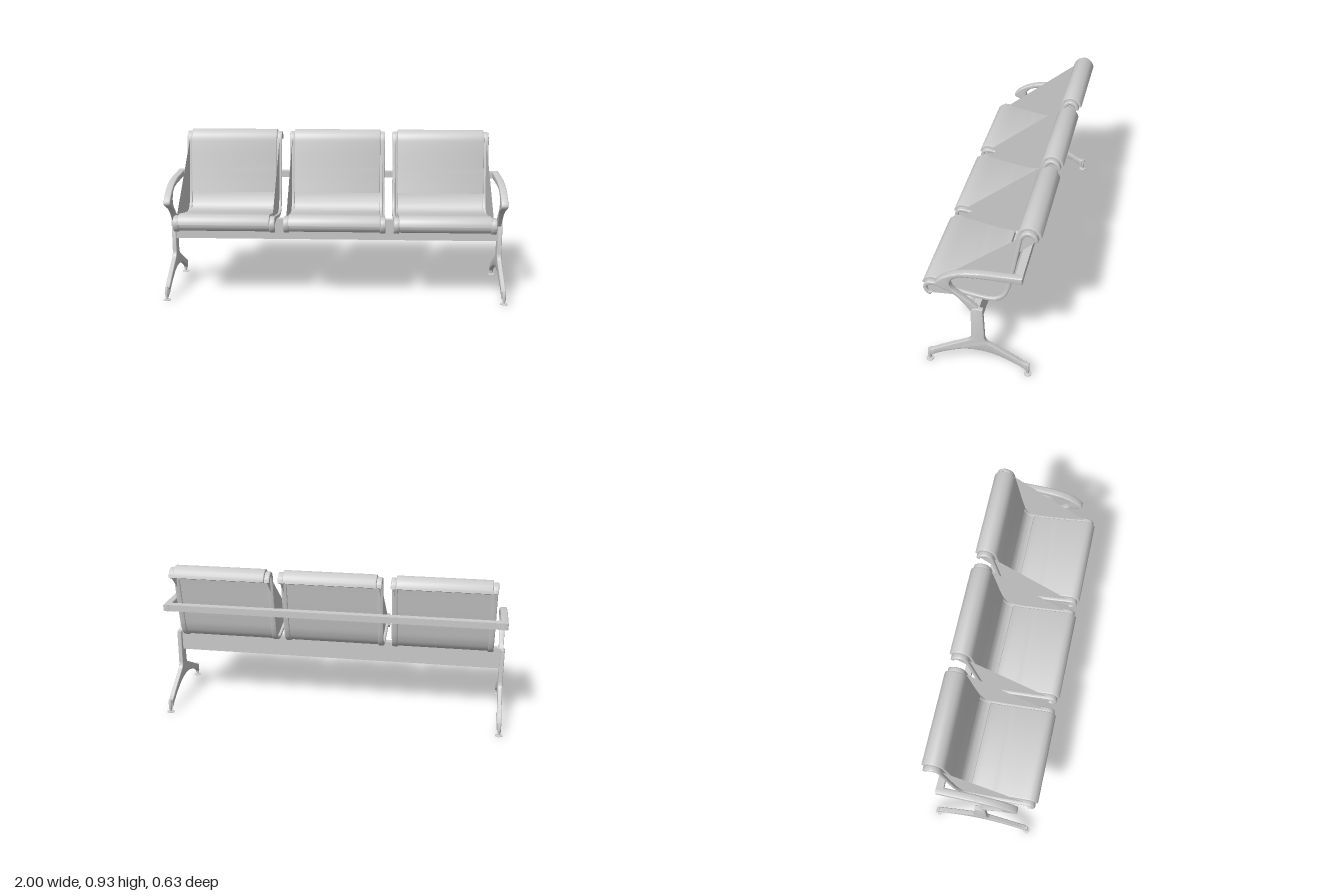
import * as THREE from 'three';
import { toCreasedNormals } from 'three/addons/utils/BufferGeometryUtils.js';

const grey = new THREE.MeshStandardMaterial({ color: 0xcccccc });
const greyThin = new THREE.MeshStandardMaterial({ color: 0xcccccc, side: THREE.DoubleSide });

const toVectors = (pairs) => pairs.map(([z, y]) => new THREE.Vector2(z, y));

function addMesh(parent, name, geometry, x = 0, y = 0, z = 0, material = grey) {
  const mesh = new THREE.Mesh(geometry, material);
  mesh.name = name;
  mesh.position.set(x, y, z);
  parent.add(mesh);
  return mesh;
}

// Extrudes a side outline given in (z, y) to a total width along x, centred on x = 0
function sideExtrude(shape, width, bevel) {
  const geometry = new THREE.ExtrudeGeometry(shape, {
    depth: width - 2 * bevel, curveSegments: 10, steps: 1,
    bevelEnabled: bevel > 0, bevelSize: bevel, bevelThickness: bevel,
    bevelOffset: -bevel, bevelSegments: 3,
  });
  geometry.translate(0, 0, bevel - width / 2);
  geometry.rotateY(-Math.PI / 2);
  return toCreasedNormals(geometry, 0.6);
}

// Side profile of a seat, from the front curl over the seat and up to the top curl
const profile = new THREE.SplineCurve(toVectors([
  [0.26, 0.423], [0.282, 0.435], [0.292, 0.465], [0.277, 0.491], [0.24, 0.493],
  [0.15, 0.474], [0.0, 0.447], [-0.07, 0.445], [-0.118, 0.468], [-0.146, 0.52],
  [-0.163, 0.59], [-0.184, 0.7], [-0.207, 0.83], [-0.222, 0.885], [-0.253, 0.904],
  [-0.284, 0.89], [-0.296, 0.862],
]));

// A band following part of the profile, lifted off it by "offset"
function band(from, to, offset, thickness, width, bevel) {
  const upper = [], lower = [];
  const count = Math.ceil((to - from) * 90);
  for (let i = 0; i <= count; i++) {
    const t = from + ((to - from) * i) / count;
    const p = profile.getPoint(t);
    const d = profile.getTangent(t);
    const normal = new THREE.Vector2(d.y, -d.x);
    upper.push(p.clone().addScaledVector(normal, offset + thickness / 2));
    lower.unshift(p.clone().addScaledVector(normal, offset - thickness / 2));
  }
  return sideExtrude(new THREE.Shape([...upper, ...lower]), width, bevel);
}

function sideWebGeometry() {
  const outline = toVectors([
    [0.26, 0.42], [0.29, 0.45], [0.288, 0.48], [0.24, 0.505], [-0.2, 0.862],
    [-0.222, 0.888], [-0.253, 0.905], [-0.284, 0.89], [-0.296, 0.862], [-0.2, 0.77],
    [-0.184, 0.7], [-0.163, 0.59], [-0.146, 0.52], [-0.118, 0.468], [-0.07, 0.445], [0, 0.438],
  ]);
  const geometry = new THREE.ShapeGeometry(new THREE.Shape(outline));
  geometry.rotateY(-Math.PI / 2);
  return geometry;
}

function armGeometry() {
  const shape = new THREE.Shape();
  shape.moveTo(0.033, 0.4);
  shape.bezierCurveTo(0.07, 0.455, 0.1, 0.5, 0.135, 0.515);
  shape.lineTo(0.208, 0.55);
  shape.bezierCurveTo(0.225, 0.565, 0.205, 0.585, 0.185, 0.602);
  shape.bezierCurveTo(0.13, 0.645, 0.06, 0.668, -0.05, 0.672);
  shape.lineTo(-0.24, 0.677);
  shape.lineTo(-0.24, 0.638);
  shape.lineTo(-0.06, 0.638);
  shape.bezierCurveTo(0.04, 0.635, 0.09, 0.635, 0.115, 0.612);
  shape.bezierCurveTo(0.145, 0.585, 0.14, 0.555, 0.115, 0.53);
  shape.bezierCurveTo(0.075, 0.492, 0.04, 0.475, -0.01, 0.427);
  shape.lineTo(-0.01, 0.4);
  const geometry = sideExtrude(shape, 0.04, 0.006);
  // Slim the arm down to the width of the post
  const position = geometry.attributes.position;
  for (let i = 0; i < position.count; i++) {
    const rise = THREE.MathUtils.smoothstep(position.getY(i), 0.4, 0.6);
    position.setX(i, position.getX(i) * (0.65 + 0.35 * rise));
  }
  return toCreasedNormals(geometry, 0.6);
}

function legGeometry() {
  const shape = new THREE.Shape();
  shape.moveTo(0, 0.13);
  shape.bezierCurveTo(0.08, 0.13, 0.13, 0.105, 0.2, 0.072);
  shape.quadraticCurveTo(0.245, 0.05, 0.262, 0.03);
  shape.lineTo(0.27, 0.076);
  shape.quadraticCurveTo(0.24, 0.085, 0.21, 0.108);
  shape.lineTo(0.06, 0.19);
  shape.quadraticCurveTo(0.035, 0.203, 0.034, 0.23);
  shape.lineTo(0.03, 0.41);
  shape.quadraticCurveTo(0.02, 0.428, 0, 0.43);
  shape.lineTo(-0.033, 0.426);
  shape.lineTo(-0.039, 0.23);
  shape.quadraticCurveTo(-0.04, 0.203, -0.06, 0.19);
  shape.lineTo(-0.21, 0.108);
  shape.quadraticCurveTo(-0.24, 0.085, -0.27, 0.076);
  shape.lineTo(-0.262, 0.03);
  shape.quadraticCurveTo(-0.245, 0.05, -0.2, 0.072);
  shape.bezierCurveTo(-0.13, 0.105, -0.08, 0.13, 0, 0.13);
  return sideExtrude(shape, 0.026, 0.005);
}

// Levelling foot: rounded socket, stem and disc turned as one piece
function footGeometry() {
  const points = toVectors([
    [0, 0], [0.021, 0], [0.021, 0.003], [0.006, 0.006], [0.005, 0.016], [0.009, 0.018],
    [0.01, 0.022], [0.01, 0.074], [0.007, 0.08], [0, 0.081],
  ]);
  return toCreasedNormals(new THREE.LatheGeometry(points, 20), 0.6);
}

export function createModel() {
  const model = new THREE.Group();
  model.name = 'threeSeatBench';

  // Seats
  const shell = band(0, 1, 0, 0.008, 0.53, 0);
  const seatPad = band(0.125, 0.445, 0.013, 0.018, 0.522, 0.005);
  const backPad = band(0.595, 1, 0.013, 0.02, 0.522, 0.005);
  const sideFrame = band(0, 1, 0, 0.02, 0.032, 0.005);
  const sideWeb = sideWebGeometry();
  for (const x of [-0.628, 0, 0.626]) {
    const seat = new THREE.Group();
    seat.name = 'seat';
    seat.position.x = x;
    addMesh(seat, 'seatShell', shell);
    addMesh(seat, 'seatPad', seatPad);
    addMesh(seat, 'backPad', backPad);
    for (const side of [-1, 1]) {
      addMesh(seat, 'sideFrame', sideFrame, side * 0.274);
      addMesh(seat, 'sideWeb', sideWeb, side * 0.275, 0, 0, greyThin);
    }
    model.add(seat);
  }

  // Beam under the seats and bar behind the backs
  addMesh(model, 'seatBeam', new THREE.BoxGeometry(1.93, 0.125, 0.036), 0, 0.368, 0.004);
  addMesh(model, 'backBar', new THREE.BoxGeometry(1.91, 0.038, 0.04), 0, 0.658, -0.219);

  // End supports
  const arm = armGeometry(), leg = legGeometry(), foot = footGeometry();
  for (const side of [-1, 1]) {
    const support = new THREE.Group();
    support.name = side > 0 ? 'leftSupport' : 'rightSupport';
    addMesh(support, 'armrest', arm, side * 0.966);
    addMesh(support, 'leg', leg, side * 0.974);
    for (const z of [-0.271, 0.271]) addMesh(support, 'foot', foot, side * 0.977, 0, z);
    model.add(support);
  }
  return model;
}
